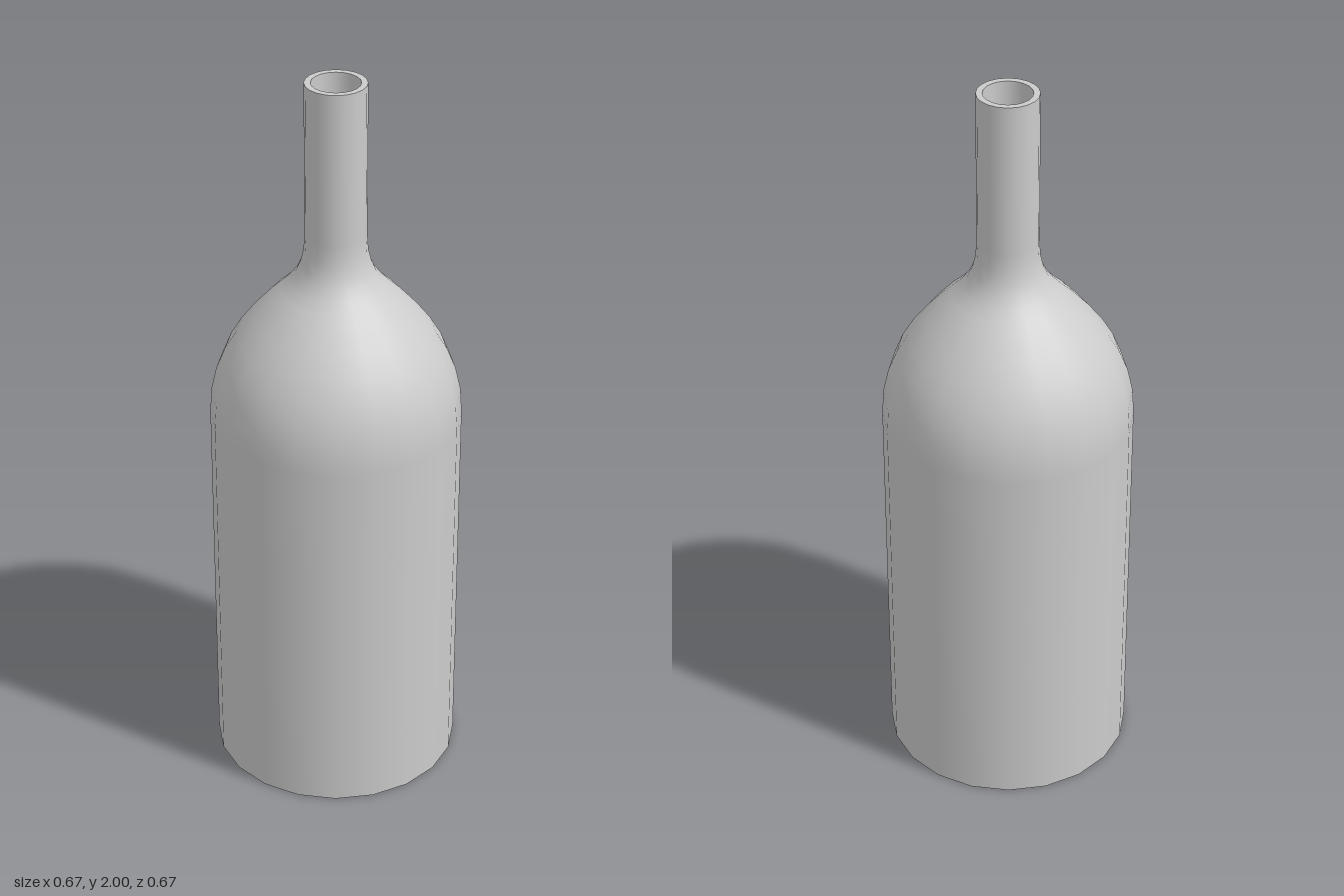
import * as THREE from 'three';

const SIDES = 20;

// Profile rising from the base through the rounded shoulder into the neck
function wallProfile(bodyRadius, neckRadius, bottom) {
  const v = (x, y) => new THREE.Vector2(x, y);
  const midRadius = bodyRadius - 0.16;
  const shoulder = new THREE.CubicBezierCurve(
    v(bodyRadius, 1.05), v(bodyRadius, 1.2), v(bodyRadius - 0.06, 1.29), v(midRadius, 1.395));
  const throat = new THREE.CubicBezierCurve(
    v(midRadius, 1.395), v(midRadius - 0.06, 1.45), v(neckRadius, 1.48), v(neckRadius, 1.58));
  return [
    v(bodyRadius, bottom),
    ...shoulder.getPoints(6),
    ...throat.getPoints(6).slice(1),
    v(neckRadius, 2),
  ];
}

export function createModel() {
  const group = new THREE.Group();
  group.name = 'bottle';
  const material = new THREE.MeshStandardMaterial({ color: 0xcccccc });

  // Each part is its own lathe, so the edges between parts stay sharp
  const addLathe = (name, points) => {
    const mesh = new THREE.Mesh(new THREE.LatheGeometry(points, SIDES), material);
    mesh.name = name;
    group.add(mesh);
  };

  const outer = wallProfile(0.336, 0.081, 0);
  const inner = wallProfile(0.319, 0.064, 0.017).reverse();
  const innerFloor = inner[inner.length - 1];

  addLathe('base', [new THREE.Vector2(0, 0), outer[0]]);
  addLathe('outerWall', outer);
  addLathe('rim', [outer[outer.length - 1], inner[0]]);
  addLathe('innerWall', inner);
  addLathe('innerFloor', [innerFloor, new THREE.Vector2(0, innerFloor.y)]);

  return group;
}
